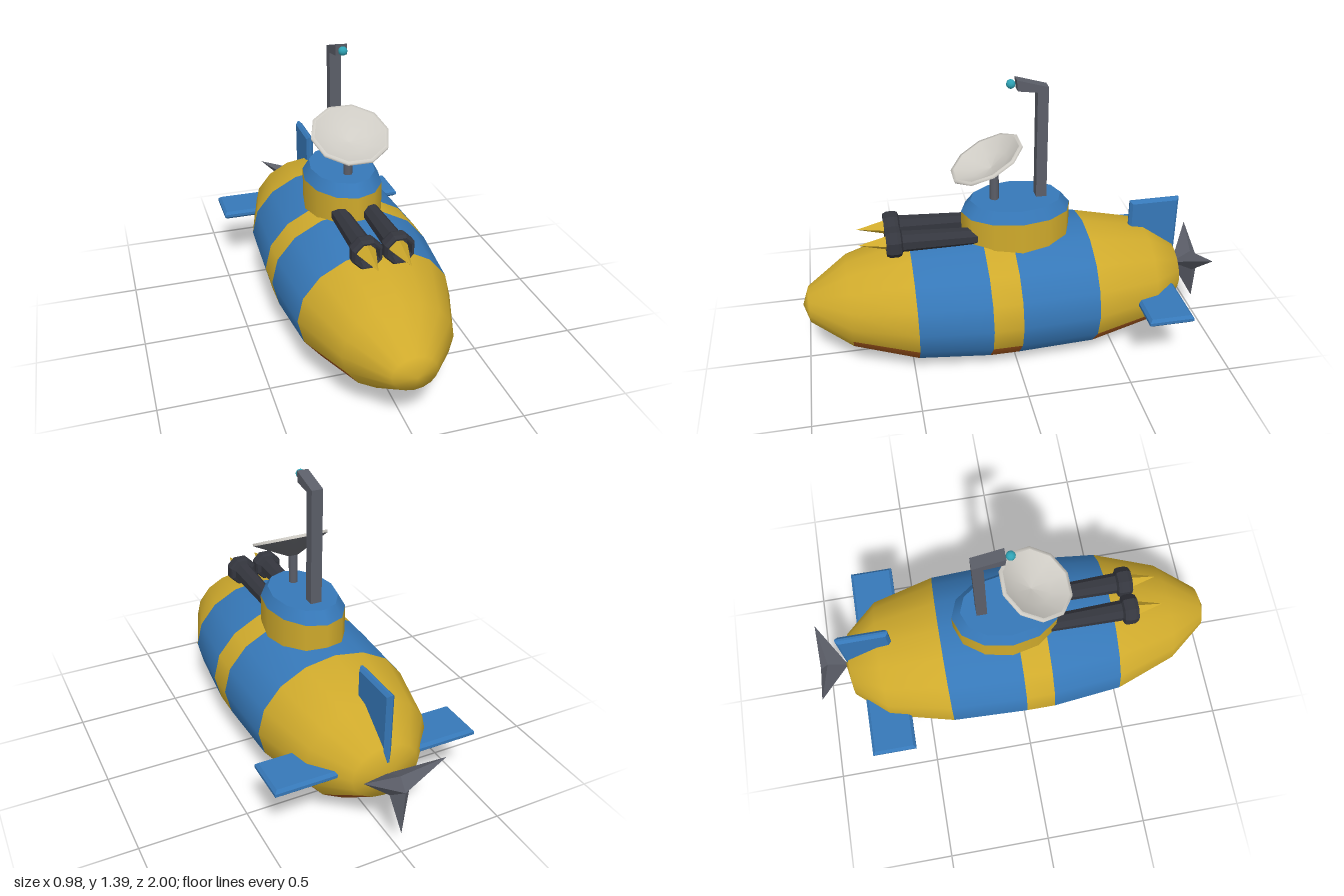
import * as THREE from 'three';

const mat = (color, extra = {}) => {
  const m = new THREE.MeshStandardMaterial({ color });
  return Object.assign(m, extra);
};
const V2 = (x, y) => new THREE.Vector2(x, y);

export function createModel() {
  const model = new THREE.Group();
  model.name = 'submarine';
  const yellow = mat(0xcfaa2c), blue = mat(0x3678b8), rust = mat(0x9c521b);
  const steel = mat(0x5b5e68), dark = mat(0x34363e, { flatShading: true, side: THREE.DoubleSide });
  const teal = mat(0x2fa3b5);

  const add = (name, geometry, material, x = 0, y = 0, z = 0, parent = model) => {
    const mesh = new THREE.Mesh(geometry, material);
    mesh.name = name;
    mesh.position.set(x, y, z);
    parent.add(mesh);
    return mesh;
  };

  // Hull: elliptical rings from nose to stern [z, half width, half height]
  const rings = [
    [1, 0, 0], [0.97, 0.1, 0.08], [0.78, 0.25, 0.21], [0.48, 0.36, 0.293], [0.14, 0.395, 0.317],
    [0, 0.395, 0.317], [-0.37, 0.38, 0.309], [-0.68, 0.3, 0.247], [-0.84, 0.16, 0.13], [-0.87, 0, 0],
  ];
  const sides = 16, position = [];
  for (const [z, rx, ry] of rings) {
    for (let j = 0; j < sides; j++) {
      const a = (j / sides) * Math.PI * 2;
      position.push(rx * Math.sin(a), 0.323 - ry * Math.cos(a), z);
    }
  }
  // Sort the faces into colour bands; rustRows is the belly width of each band
  const blueBands = [3, 5], rustRows = [0, 1, 3, 0, 3, 0, 3, 2, 0];
  const faces = { yellow: [], blue: [], rust: [] }, all = [];
  for (let i = 0; i < rings.length - 1; i++) {
    for (let j = 0; j < sides; j++) {
      const a = i * sides + j, b = i * sides + ((j + 1) % sides);
      const quad = [a, a + sides, b, b, a + sides, b + sides];
      const isRust = j < rustRows[i] || j >= sides - rustRows[i];
      faces[blueBands.includes(i) ? 'blue' : isRust ? 'rust' : 'yellow'].push(...quad);
      all.push(...quad);
    }
  }
  const hull = new THREE.BufferGeometry();
  hull.setAttribute('position', new THREE.Float32BufferAttribute(position, 3));
  hull.setIndex(all);
  hull.computeVertexNormals();
  for (let j = 0; j < sides; j++) {
    hull.attributes.normal.setXYZ(j, 0, 0, 1);
    hull.attributes.normal.setXYZ((rings.length - 1) * sides + j, 0, 0, -1);
  }
  const band = (name, index, material) => {
    const g = hull.clone();
    g.setIndex(index);
    add(name, g, material);
  };
  band('hull', faces.yellow, yellow);
  band('hullBands', faces.blue, blue);
  band('hullBelly', faces.rust, rust);

  // Conning tower
  const oval = (top, bottom, h) => new THREE.CylinderGeometry(top, bottom, h, 12).scale(0.182, 1, 0.262);
  add('tower', oval(1, 1, 0.25), yellow, 0, 0.625, -0.037);
  add('towerRoof', oval(0.83, 1, 0.055), blue, 0, 0.7775, -0.037);

  // Periscope: bent square tube with a lens
  const bend = new THREE.Shape([
    V2(-0.18, 0.78), V2(-0.13, 0.78), V2(-0.13, 1.33), V2(-0.04, 1.343), V2(-0.035, 1.395), V2(-0.18, 1.352),
  ]);
  const scope = new THREE.ExtrudeGeometry(bend, { depth: 0.054, bevelEnabled: false });
  add('periscope', scope.translate(0, 0, -0.027).rotateY(-Math.PI / 2), steel);
  add('periscopeLens', new THREE.SphereGeometry(0.021, 12, 8), teal, 0, 1.37, -0.013);

  // Radar dish on a post
  add('dishPost', new THREE.CylinderGeometry(0.022, 0.022, 0.17, 8), steel, 0, 0.865, 0.065);
  const dish = new THREE.Group();
  dish.name = 'dish';
  dish.position.set(0, 1.02, 0.103);
  dish.rotation.x = 0.455;
  model.add(dish);
  const dishPart = (name, material, points) =>
    add(name, new THREE.LatheGeometry(points, 10, Math.PI / 2), material, 0, 0, 0, dish);
  const light = mat(0xcfccc5, { side: THREE.DoubleSide });
  dishPart('dishBack', mat(0x66686e, { side: THREE.DoubleSide }), [V2(0, -0.092), V2(0.025, -0.088), V2(0.183, -0.012)]);
  dishPart('dishRim', light, [V2(0.183, -0.012), V2(0.183, 0), V2(0.168, 0)]);
  dishPart('dishBowl', light, [V2(0.168, 0), V2(0.09, -0.04), V2(0, -0.058)]);

  // Twin harpoon guns
  const spike = mat(0xcfaa2c, { flatShading: true });
  for (const s of [-1, 1]) {
    const gun = new THREE.Group();
    gun.name = s > 0 ? 'leftGun' : 'rightGun';
    gun.position.set(s * 0.072, 0.665, 0.52);
    model.add(gun);
    const barrel = new THREE.CylinderGeometry(0.05, 0.04, 0.4, 8).rotateY(Math.PI / 8);
    barrel.rotateX(Math.PI / 2).translate(0, 0, -0.19);
    add('barrel', barrel, dark, 0, 0, 0, gun).rotation.x = -0.03;
    const muzzle = [V2(0.045, -0.01), V2(0.068, 0), V2(0.073, 0.015), V2(0.073, 0.05), V2(0.064, 0.068), V2(0.055, 0.066), V2(0.05, 0.02), V2(0, 0.02)];
    add('muzzle', new THREE.LatheGeometry(muzzle, 8, Math.PI / 8).rotateX(Math.PI / 2), dark, 0, 0, 0, gun);
    add('harpoon', new THREE.ConeGeometry(0.048, 0.175, 4).rotateX(Math.PI / 2), spike, 0, 0, 0.108, gun);
  }

  // Bevelled fins
  const fin = (w, h, t) => {
    const b = 0.013, x = w / 2 - b, y = h / 2 - b;
    const shape = new THREE.Shape([V2(-x, -y), V2(x, -y), V2(x, y), V2(-x, y)]);
    const g = new THREE.ExtrudeGeometry(shape, {
      depth: t - 2 * b, bevelThickness: b, bevelSize: b, bevelSegments: 1,
    });
    return g.translate(0, 0, b - t / 2);
  };
  add('tailFin', fin(0.25, 0.36, 0.036).rotateY(Math.PI / 2), blue, 0, 0.535, -0.732);
  for (const s of [-1, 1]) {
    add(s > 0 ? 'leftFin' : 'rightFin', fin(0.34, 0.215, 0.04).rotateX(Math.PI / 2), blue, s * 0.318, 0.328, -0.683);
  }

  // Propeller: three-pointed star between a front and a back point
  const star = [];
  for (let i = 0; i < 6; i++) {
    const a = -Math.PI / 2 + (i * Math.PI) / 3, tip = i % 2 === 0, r = tip ? 0.225 : 0.055;
    star.push([r * Math.cos(a), r * Math.sin(a), tip ? -0.99 : -0.955]);
  }
  const blades = [];
  star.forEach((p, i) => {
    const q = star[(i + 1) % 6];
    blades.push(0, 0, -0.86, ...p, ...q, 0, 0, -1, ...q, ...p);
  });
  const prop = new THREE.BufferGeometry();
  prop.setAttribute('position', new THREE.Float32BufferAttribute(blades, 3));
  prop.computeVertexNormals();
  add('propeller', prop, mat(0x5b5e68, { flatShading: true }), 0, 0.325, 0);

  return model;
}
